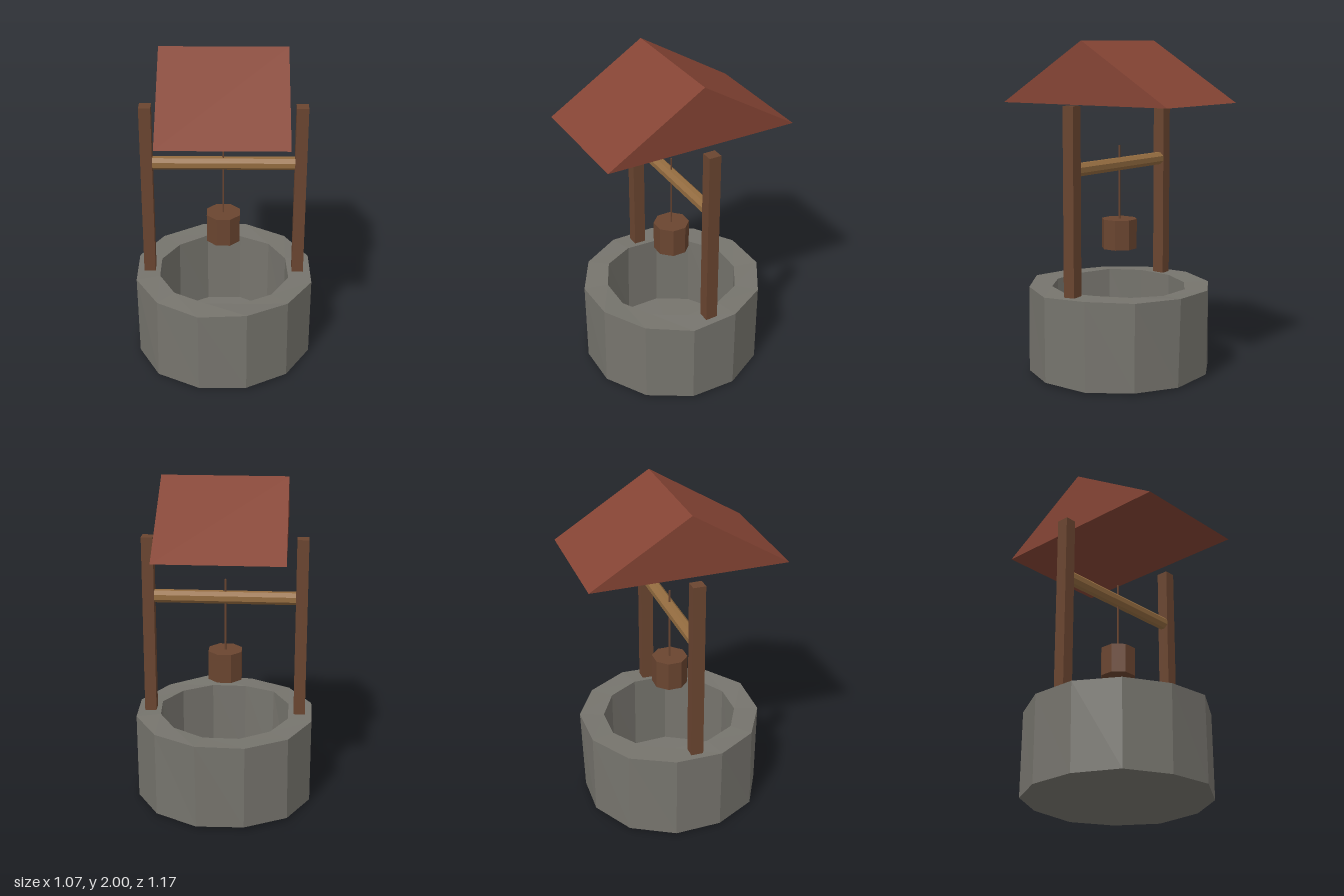
import * as THREE from 'three';

export function createModel() {
  const model = new THREE.Group();
  model.name = 'waterWell';

  const paint = (name, color) => {
    const m = new THREE.MeshStandardMaterial({ color, flatShading: true });
    m.name = name;
    return m;
  };
  const stone = paint('grey stone', 0x76746d);
  const wood = paint('dark wood', 0x6a4530);
  const lightWood = paint('light wood', 0x946c40);
  const tiles = paint('red roof', 0x854434);

  const add = (name, geometry, material, x = 0, y = 0, z = 0) => {
    const mesh = new THREE.Mesh(geometry, material);
    mesh.name = name;
    mesh.position.set(x, y, z);
    model.add(mesh);
    return mesh;
  };

  // Small repeatable wobble for the rough stone
  let seed = 7;
  const wobble = (amount) => {
    seed = (seed * 16807) % 2147483647;
    return (seed / 2147483647 - 0.5) * 2 * amount;
  };

  // Stone wall: twelve-sided rings from the base centre, up, over the rim and down inside
  const sides = 12;
  const profile = [
    [0, 0.0, 0], [0.55, 0.012, 0.01], [0.552, 0.535, 0.01],
    [0.408, 0.535, 0.008], [0.408, 0.05, 0.005], [0, 0.05, 0],
  ];
  const rings = profile.map(([r, y, j]) => Array.from({ length: sides }, (_, i) => {
    const a = ((i + 0.5) / sides) * Math.PI * 2;
    const radius = r + wobble(j);
    return [Math.cos(a) * radius, Math.max(0, y + wobble(j)), Math.sin(a) * radius];
  }));
  const points = [];
  for (let k = 0; k < rings.length - 1; k++) {
    for (let i = 0; i < sides; i++) {
      const n = (i + 1) % sides;
      const [a, b, c, d] = [rings[k][i], rings[k][n], rings[k + 1][i], rings[k + 1][n]];
      if (k < rings.length - 2) points.push(...a, ...c, ...d);
      if (k > 0) points.push(...a, ...d, ...b);
    }
  }
  const wall = new THREE.BufferGeometry();
  wall.setAttribute('position', new THREE.Float32BufferAttribute(points, 3));
  wall.computeVertexNormals();
  add('stoneWall', wall, stone);

  // Posts standing on the rim
  add('leftPost', new THREE.BoxGeometry(0.07, 1.113, 0.074), wood, 0.459, 1.0785, 0);
  add('rightPost', new THREE.BoxGeometry(0.07, 1.113, 0.074), wood, -0.455, 1.0785, 0);

  // Winding beam between the posts, flat side up
  const beam = new THREE.CylinderGeometry(0.04, 0.04, 0.89, 8);
  beam.rotateY(Math.PI / 8).rotateZ(Math.PI / 2);
  add('windingBeam', beam, lightWood, 0, 1.268, 0);

  // Rope and bucket
  add('rope', new THREE.CylinderGeometry(0.006, 0.006, 0.45, 6), wood, 0, 1.155, 0);
  const bucket = new THREE.CylinderGeometry(0.108, 0.108, 0.18, 8);
  bucket.rotateY(Math.PI / 8);
  add('bucket', bucket, wood, 0, 0.846, 0);

  // Gabled roof: a triangle drawn across z and extruded along x
  const gable = new THREE.Shape([
    new THREE.Vector2(-0.587, 1.635), new THREE.Vector2(0.587, 1.635), new THREE.Vector2(0, 2),
  ]);
  const roof = new THREE.ExtrudeGeometry(gable, { depth: 0.736, bevelEnabled: false });
  roof.translate(0, 0, -0.368).rotateY(Math.PI / 2);
  add('roof', roof, tiles, 0.002, 0, 0);

  return model;
}
